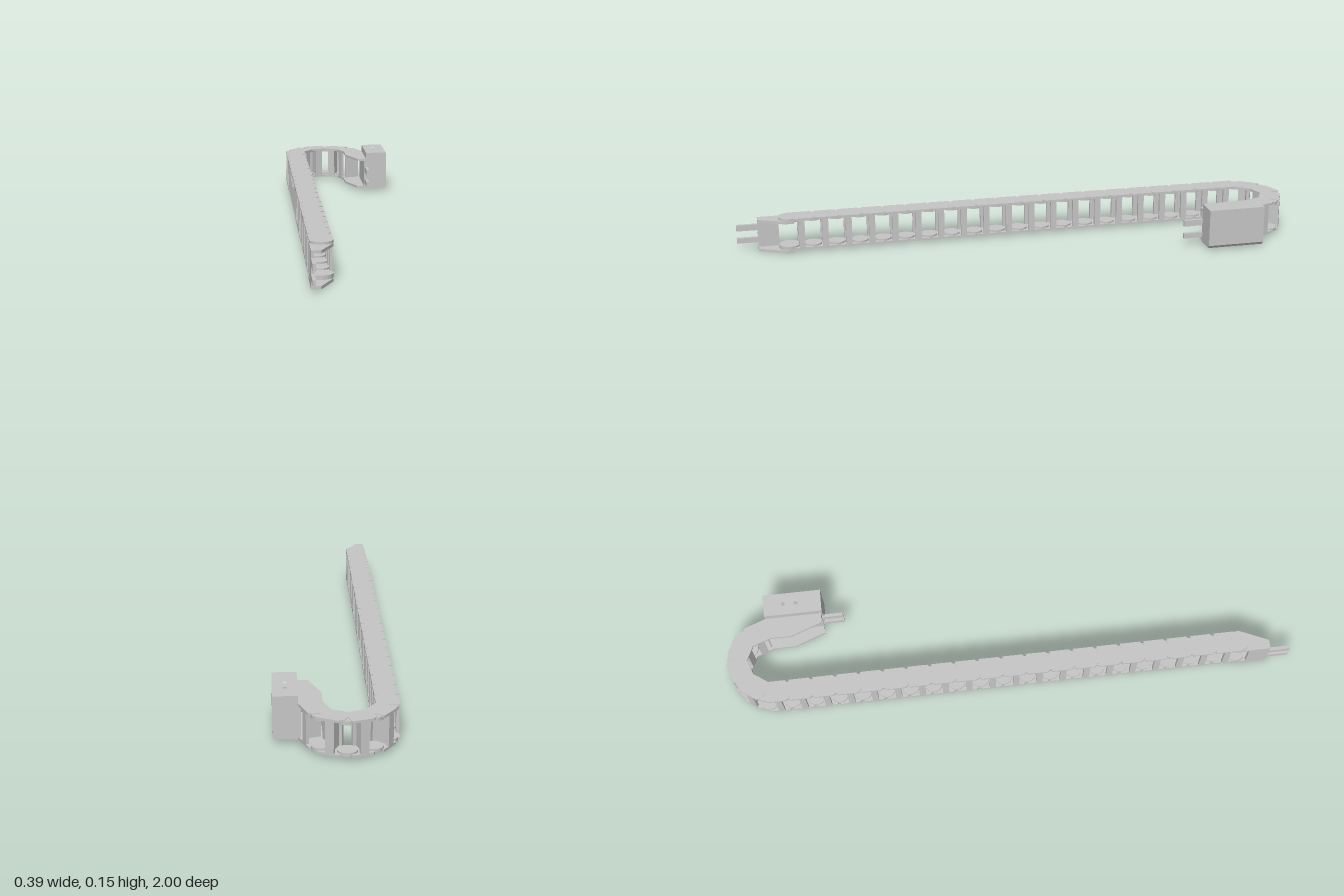
import * as THREE from 'three';

const grey = new THREE.MeshStandardMaterial({ color: 0xc6c6c6, flatShading: true });
grey.name = 'light grey';

const W = 0.075, H = W / 2;            // chain width
const Y0 = 0.01, Y1 = 0.128, T = 0.008; // chain bottom, top, plate thickness

function add(parent, name, geometry) {
  const mesh = new THREE.Mesh(geometry, grey);
  mesh.name = name;
  parent.add(mesh);
  return mesh;
}

function box(parent, name, x0, x1, y0, y1, z0, z1) {
  const m = add(parent, name, new THREE.BoxGeometry(x1 - x0, y1 - y0, z1 - z0));
  m.position.set((x0 + x1) / 2, (y0 + y1) / 2, (z0 + z1) / 2);
}

// Plate cut from a plan outline of [x, z] points, with optional round holes
function plateGeometry(points, y0, y1, holes = [], r = 0.007) {
  const shape = new THREE.Shape(points.map(([x, z]) => new THREE.Vector2(x, -z)));
  for (const [x, z] of holes) {
    shape.holes.push(new THREE.Path().absarc(x, -z, r, 0, Math.PI * 2, true));
  }
  const g = new THREE.ExtrudeGeometry(shape, { depth: y1 - y0, bevelEnabled: false, curveSegments: 10 });
  return g.rotateX(-Math.PI / 2).translate(0, y0, 0);
}

function disc(parent, name, r, y0, y1) {
  const m = add(parent, name, new THREE.CylinderGeometry(r, r, y1 - y0, 24));
  m.position.y = (y0 + y1) / 2;
  return m;
}

// One link from joint a to joint b, built along its own +x
function chainLink(a, b, barLength, first) {
  const link = new THREE.Group();
  link.name = 'chainLink';
  const dx = b[0] - a[0], dz = b[1] - a[1], len = Math.hypot(dx, dz), c = 0.014;
  // notched corners leave small triangular gaps between neighbours
  const outline = [[0, H - c], [c, H], [len, H], [len, -H], [c, -H], [0, c - H]];
  add(link, 'bottomPlate', plateGeometry(outline, Y0, Y0 + T));
  add(link, 'topPlate', plateGeometry(outline, Y1 - T, Y1));
  // round pivot lugs beneath the plates
  const r = first ? H : H - 0.006, inset = first ? 0 : 0.002;
  disc(link, 'bottomLug', r, Y0 + inset, Y0 + T + 0.006);
  disc(link, 'topLug', r, Y1 - T - 0.006, Y1 - inset);
  // cross bars on both open sides
  for (const s of [-1, 1]) {
    const v = s * (H - 0.005), m = len / 2;
    box(link, 'crossBar', m - barLength / 2, m + barLength / 2, Y0 + T, Y1 - T, v - 0.005, v + 0.005);
  }
  link.position.set(a[0], 0, a[1]);
  link.rotation.y = Math.atan2(-dz, dx);
  return link;
}

function prongs(parent, x0, x1, z0, z1) {
  for (const [y0, y1] of [[0.028, 0.047], [0.074, 0.096]]) box(parent, 'prong', x0, x1, y0, y1, z0, z1);
}

export function createModel() {
  const model = new THREE.Group();
  model.name = 'cableChain';

  // Chain: straight run followed by the return bend
  const cx = -0.1595, zStart = 0.815, zEnd = -0.865, count = 20;
  const joints = [];
  for (let i = 0; i <= count; i++) joints.push([cx, zStart + (zEnd - zStart) * i / count]);
  joints.push([-0.11, -0.935], [-0.03, -0.962], [0.048, -0.925], [0.078, -0.84]);
  for (let i = 0; i < joints.length - 1; i++) {
    const link = chainLink(joints[i], joints[i + 1], i < count ? 0.022 : 0.028, i === 0);
    // inner dividers in the bend
    if (i >= count) {
      const u = i === joints.length - 2 ? 0.075 : 0.042;
      box(link, 'divider', u - 0.003, u + 0.003, Y0 + T, Y1 - T, -0.028, 0.028);
    }
    model.add(link);
  }

  // Tapered bracket on the free end
  const start = new THREE.Group();
  start.name = 'startBracket';
  const taper = [[-0.197, 0.8], [-0.122, 0.8], [-0.122, 0.83], [-0.165, 0.925], [-0.197, 0.925]];
  add(start, 'bracketBottom', plateGeometry(taper, 0, Y0));
  add(start, 'bracketTop', plateGeometry(taper, 0.11, 0.12));
  box(start, 'bracketWall', -0.197, -0.187, Y0, 0.11, 0.85, 0.925);
  prongs(start, -0.197, -0.186, 0.925, 1.0);
  model.add(start);

  // Bracket on the mounted end
  const end = new THREE.Group();
  end.name = 'endBracket';
  const flare = [[0.04, -0.84], [0.04, -0.76], [0.08, -0.65], [0.115, -0.65], [0.115, -0.84]];
  for (const y of [Y0, Y1 - T]) {
    add(end, 'bracketPlate', plateGeometry(flare, y, y + T));
    const d = disc(end, 'pivotDisc', H, y, y + T);
    d.position.x = 0.078;
    d.position.z = -0.84;
  }
  box(end, 'bracketWall', 0.107, 0.115, Y0, Y1, -0.85, -0.65);
  prongs(end, 0.11, 0.121, -0.65, -0.575);
  model.add(end);

  // Mounting block: body with vertical holes, side cover with recesses, eased foot
  const block = new THREE.Group();
  block.name = 'mountingBlock';
  const zBack = -0.85, zFront = -0.645, yFoot = 0.02, yTop = 0.153;
  const plan = (x1) => [[0.115, zBack], [x1, zBack], [x1, zFront], [0.115, zFront]];
  const holes = [[0.155, -0.78], [0.155, -0.735]];
  add(block, 'blockBody', plateGeometry(plan(0.187), yFoot, yTop, holes));
  const cover = [[-yTop, zBack], [-yFoot, zBack], [-yFoot, zFront], [-yTop, zFront]];
  const recesses = [[-0.07, -0.66], [-0.07, -0.692]];
  add(block, 'sideCover', plateGeometry(cover, 0.187, 0.195, recesses, 0.006).rotateZ(-Math.PI / 2));
  const foot = plateGeometry(plan(0.195), Y0, yFoot, holes);
  const p = foot.attributes.position;
  for (let i = 0; i < p.count; i++) {
    if (p.getX(i) > 0.19 && p.getY(i) < 0.015) p.setX(i, 0.188);
  }
  foot.computeVertexNormals();
  add(block, 'blockFoot', foot);
  model.add(block);

  return model;
}
